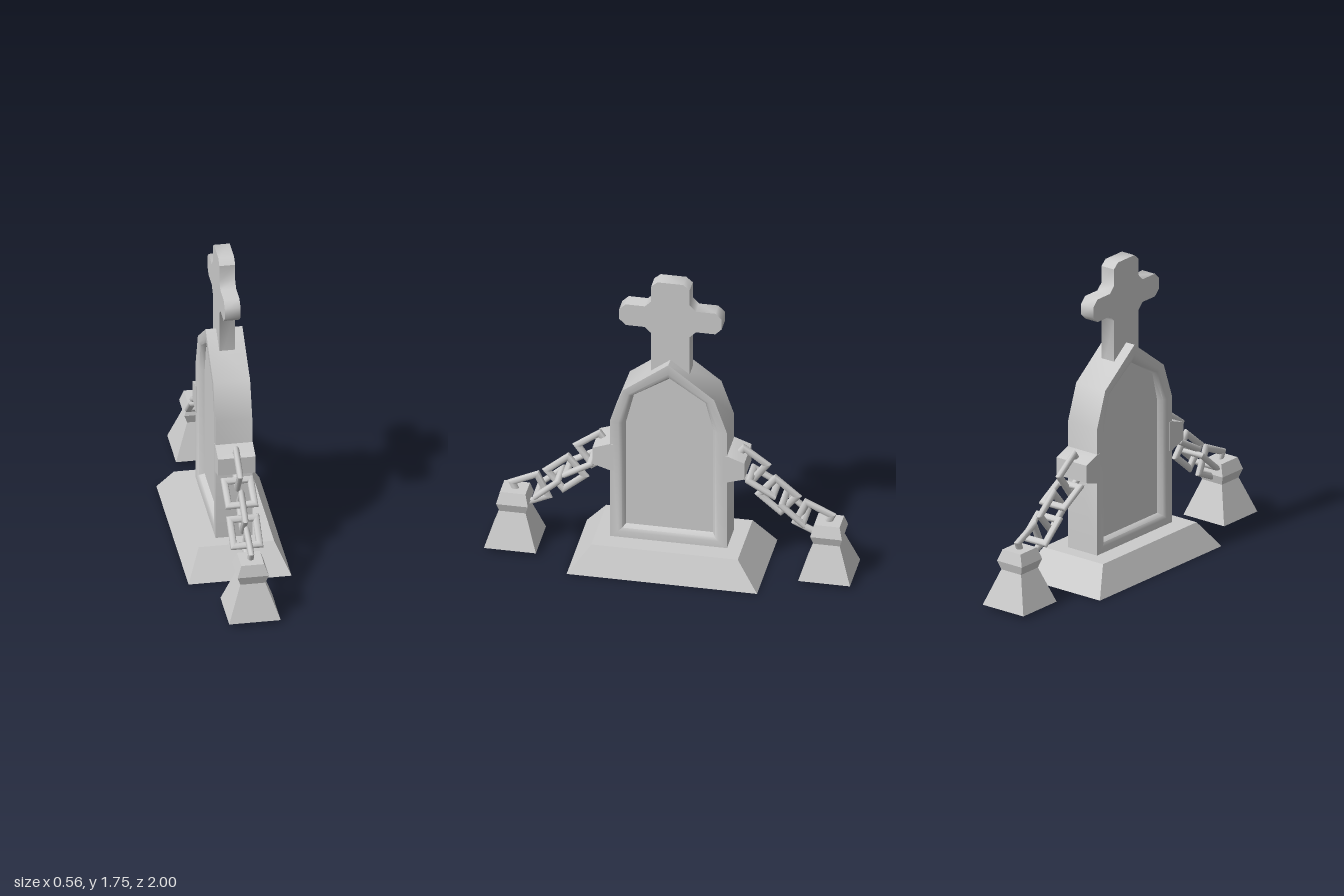
import * as THREE from 'three';
import { toCreasedNormals } from 'three/addons/utils/BufferGeometryUtils.js';

const material = new THREE.MeshStandardMaterial({ color: 0xcccccc });

function part(name, geometry, crease = 0.5) {
  const mesh = new THREE.Mesh(toCreasedNormals(geometry, crease), material);
  mesh.name = name;
  return mesh;
}

// Skin a stack of equal-length rings and close both ends with a fan
function loft(rings) {
  const pos = [];
  const tri = (...pts) => pts.forEach((p) => pos.push(p.x, p.y, p.z));
  const n = rings[0].length;
  const middle = (ring) => ring.reduce((s, p) => s.add(p), new THREE.Vector3()).divideScalar(n);
  const last = rings[rings.length - 1];
  const start = middle(rings[0]);
  const end = middle(last);
  for (let j = 0; j < n; j++) {
    const k = (j + 1) % n;
    for (let i = 0; i < rings.length - 1; i++) {
      const a = rings[i], b = rings[i + 1];
      tri(a[j], a[k], b[k]);
      tri(a[j], b[k], b[j]);
    }
    tri(start, rings[0][k], rings[0][j]);
    tri(end, last[j], last[k]);
  }
  const geometry = new THREE.BufferGeometry();
  geometry.setAttribute('position', new THREE.Float32BufferAttribute(pos, 3));
  return geometry;
}

// Four-sided block from levels of [y, half width x, half width z]
function squareStack(levels) {
  return loft(levels.map(([y, w, d]) =>
    [[-w, d], [w, d], [w, -d], [-w, -d]].map(([x, z]) => new THREE.Vector3(x, y, z))));
}

// Outline of [z, y] points extruded across x
function sideExtrude(points, halfWidth) {
  const shape = new THREE.Shape(points.map(([z, y]) => new THREE.Vector2(-z, y)));
  return new THREE.ExtrudeGeometry(shape, { depth: halfWidth * 2, bevelEnabled: false })
    .translate(0, 0, -halfWidth)
    .rotateY(Math.PI / 2);
}

// Complete a half outline of [z, y] points by mirroring it in z
function mirrored(half) {
  return [...half, ...half.filter(([z]) => z > 0).reverse().map(([z, y]) => [-z, y])];
}

// Pointed slab with a raised rim around a sunken panel on both faces
function slabGeometry() {
  const outer = mirrored([[0, 1.27], [0.25, 1.08], [0.32, 0.88], [0.32, 0.15]]);
  const inner = mirrored([[0, 1.165], [0.195, 1.04], [0.237, 0.87], [0.237, 0.225]]);
  const rim = [[0.1, 0], [0.1, 0.55], [0.092, 0.8], [0.065, 1]];
  const profile = [...rim.map(([x, t]) => [-x, t]).reverse(), ...rim];
  return loft(profile.map(([x, t]) => outer.map(([z, y], i) => new THREE.Vector3(
    x,
    THREE.MathUtils.lerp(y, inner[i][1], t),
    THREE.MathUtils.lerp(z, inner[i][0], t)))));
}

// Square chain link lying in the y-z plane, its length along z
function linkGeometry() {
  return new THREE.TorusGeometry(0.1, 0.027, 8, 4)
    .rotateZ(Math.PI / 4)
    .scale(1.07, 1, 0.65)
    .rotateY(Math.PI / 2);
}

// Bracket, chain and weight at one end
function chainSide(name) {
  const side = new THREE.Group();
  side.name = name;

  side.add(part('chainBracket', sideExtrude(
    [[0.3, 0.57], [0.32, 0.57], [0.415, 0.6], [0.415, 0.7], [0.32, 0.735], [0.3, 0.735]], 0.102)));

  // Links as [z, y, downward angle], alternately upright and turned flat
  const links = [
    [0.415, 0.633, 36], [0.5, 0.535, 30], [0.58, 0.462, 40], [0.67, 0.39, 41], [0.775, 0.337, 25],
  ];
  links.forEach(([z, y, angle], i) => {
    const link = part('chainLink', linkGeometry(), 0.9);
    link.position.set(0, y, z);
    link.rotation.set(THREE.MathUtils.degToRad(angle), 0, i % 2 ? Math.PI / 2 : 0);
    side.add(link);
  });

  const weight = part('chainWeight', squareStack([
    [0.02, 0.14, 0.142], [0.22, 0.068, 0.072], [0.27, 0.085, 0.087], [0.335, 0.062, 0.07],
  ]));
  weight.position.z = 0.858;
  side.add(weight);
  return side;
}

export function createModel() {
  const model = new THREE.Group();
  model.name = 'gravestone';

  model.add(part('base', squareStack([[0, 0.28, 0.52], [0.155, 0.205, 0.4]])));
  model.add(part('slab', slabGeometry(), 0.75));

  // Cross with chamfered ends and inner corners
  const cross = mirrored([
    [0.07, 1.75], [0.105, 1.72], [0.105, 1.625], [0.14, 1.59], [0.245, 1.59], [0.28, 1.555],
    [0.28, 1.495], [0.245, 1.46], [0.14, 1.46], [0.105, 1.425], [0.105, 1.1],
  ]);
  model.add(part('cross', sideExtrude(cross, 0.043), 0.85));

  const front = chainSide('frontChain');
  const back = chainSide('backChain');
  back.rotation.y = Math.PI;
  model.add(front, back);
  return model;
}
